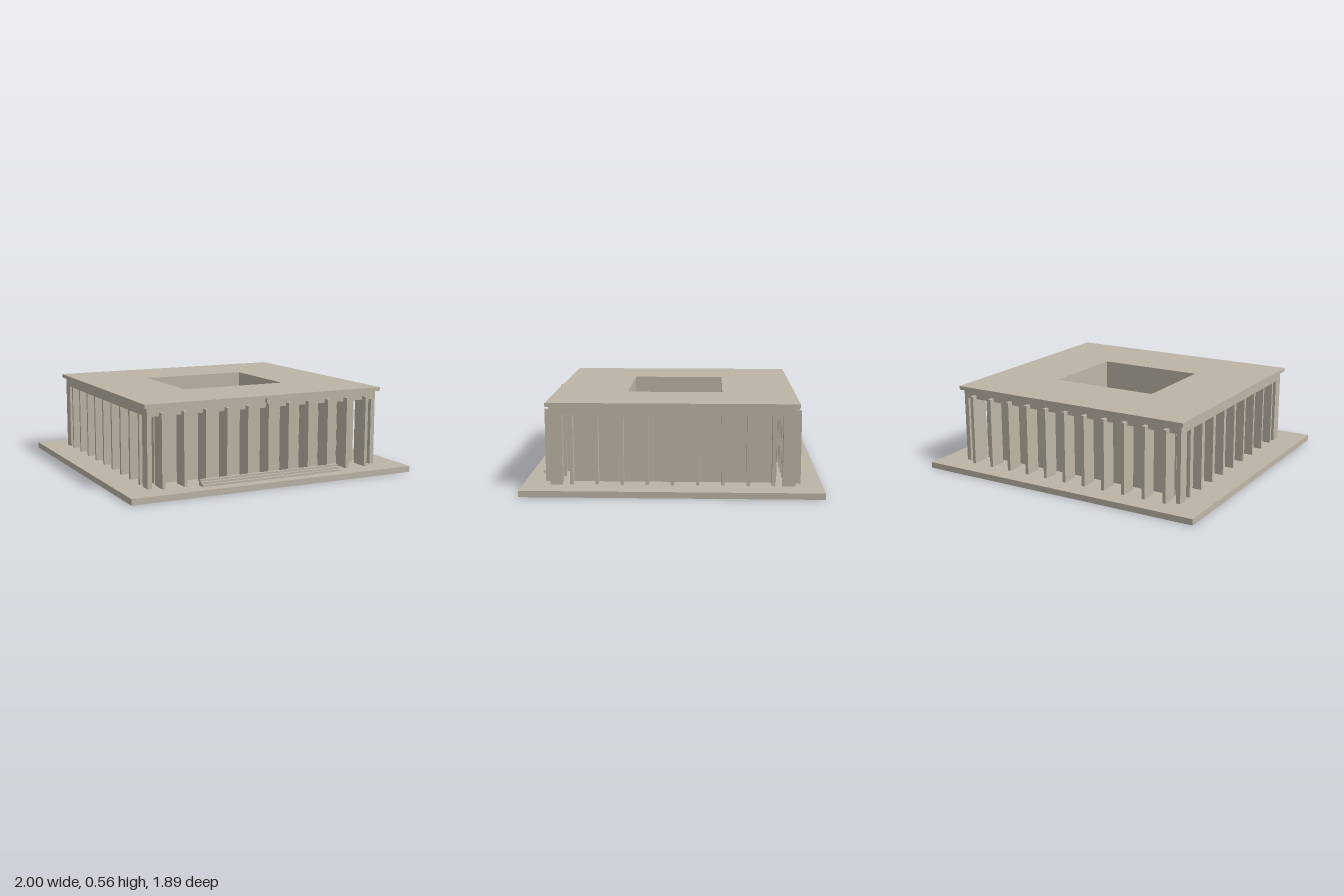
import * as THREE from 'three';

export function createModel() {
  const model = new THREE.Group();
  model.name = 'courtyardBuilding';
  const stone = new THREE.MeshStandardMaterial({ color: 0xbdb5a6 });
  stone.name = 'stone';

  const add = (name, geometry, parent = model) => {
    const mesh = new THREE.Mesh(geometry, stone);
    mesh.name = name;
    parent.add(mesh);
    return mesh;
  };
  const group = (name) => {
    const g = new THREE.Group();
    g.name = name;
    model.add(g);
    return g;
  };
  // box from its limits on each axis
  const box = (name, x0, x1, y0, y1, z0, z1, parent) => {
    const mesh = add(name, new THREE.BoxGeometry(x1 - x0, y1 - y0, z1 - z0), parent);
    mesh.position.set((x0 + x1) / 2, (y0 + y1) / 2, (z0 + z1) / 2);
    return mesh;
  };
  // rectangular storey with the courtyard opening cut through it
  const ring = (name, hx, hz, y0, y1) => {
    const shape = new THREE.Shape();
    shape.moveTo(-hx, -hz).lineTo(hx, -hz).lineTo(hx, hz).lineTo(-hx, hz).closePath();
    const hole = new THREE.Path();
    const cx = 0.367, cz = 0.315;
    hole.moveTo(-cx, -cz).lineTo(-cx, cz).lineTo(cx, cz).lineTo(cx, -cz).closePath();
    shape.holes.push(hole);
    const geometry = new THREE.ExtrudeGeometry(shape, { depth: y1 - y0, bevelEnabled: false });
    geometry.rotateX(-Math.PI / 2).translate(0, y0, 0);
    return add(name, geometry);
  };

  const floor = 0.04, soffit = 0.485;
  box('basePlinth', -1, 1, 0, floor, -0.945, 0.945);
  ring('mainWalls', 0.735, 0.658, floor, soffit);
  ring('upperBeam', 0.826, 0.772, soffit, 0.54);
  ring('roofSlab', 0.848, 0.795, 0.54, 0.565);

  // corner piers
  const piers = group('cornerPiers');
  for (const sx of [-1, 1]) {
    for (const sz of [-1, 1]) {
      const pier = add('cornerPier', new THREE.BoxGeometry(0.03, soffit - floor, 0.078), piers);
      pier.position.set(sx * 0.811, (floor + soffit) / 2, sz * 0.733);
    }
  }

  // deep fins along the front and back
  const spacing = 0.147, finHalf = 0.011;
  const fins = group('facadeFins');
  for (let i = -5; i <= 5; i++) {
    const x = i * spacing;
    box('frontFin', x - finHalf, x + finHalf, floor, 0.51, 0.698, 0.812, fins);
    box('backFin', x - finHalf, x + finHalf, floor, 0.51, -0.812, -0.698, fins);
  }

  // slimmer fins along both sides
  const sideFins = group('sideFins');
  for (let i = -4; i <= 4; i++) {
    const z = i * 0.159;
    box('leftFin', 0.767, 0.826, floor, soffit, z - 0.01, z + 0.01, sideFins);
    box('rightFin', -0.826, -0.767, floor, soffit, z - 0.01, z + 0.01, sideFins);
  }

  // front window blocks, four rows in each bay
  const windows = group('frontWindows');
  for (let bay = -5; bay < 5; bay++) {
    const x = bay * spacing + finHalf;
    for (const y of [0.095, 0.202, 0.308, 0.414]) {
      box('window', x, x + 0.075, y, y + 0.071, 0.65, 0.668, windows);
    }
  }

  // entrance steps
  const steps = group('entranceSteps');
  for (let i = 0; i < 3; i++) {
    const y = floor + i * 0.013;
    box('step', -0.5, 0.5, y, y + 0.013, 0.812, 0.87 - i * 0.019, steps);
  }

  // round plaque above the central fin
  const plaque = add('roundPlaque', new THREE.CylinderGeometry(0.026, 0.026, 0.025, 24));
  plaque.rotation.x = Math.PI / 2;
  plaque.position.set(0, 0.535, 0.803);

  return model;
}
